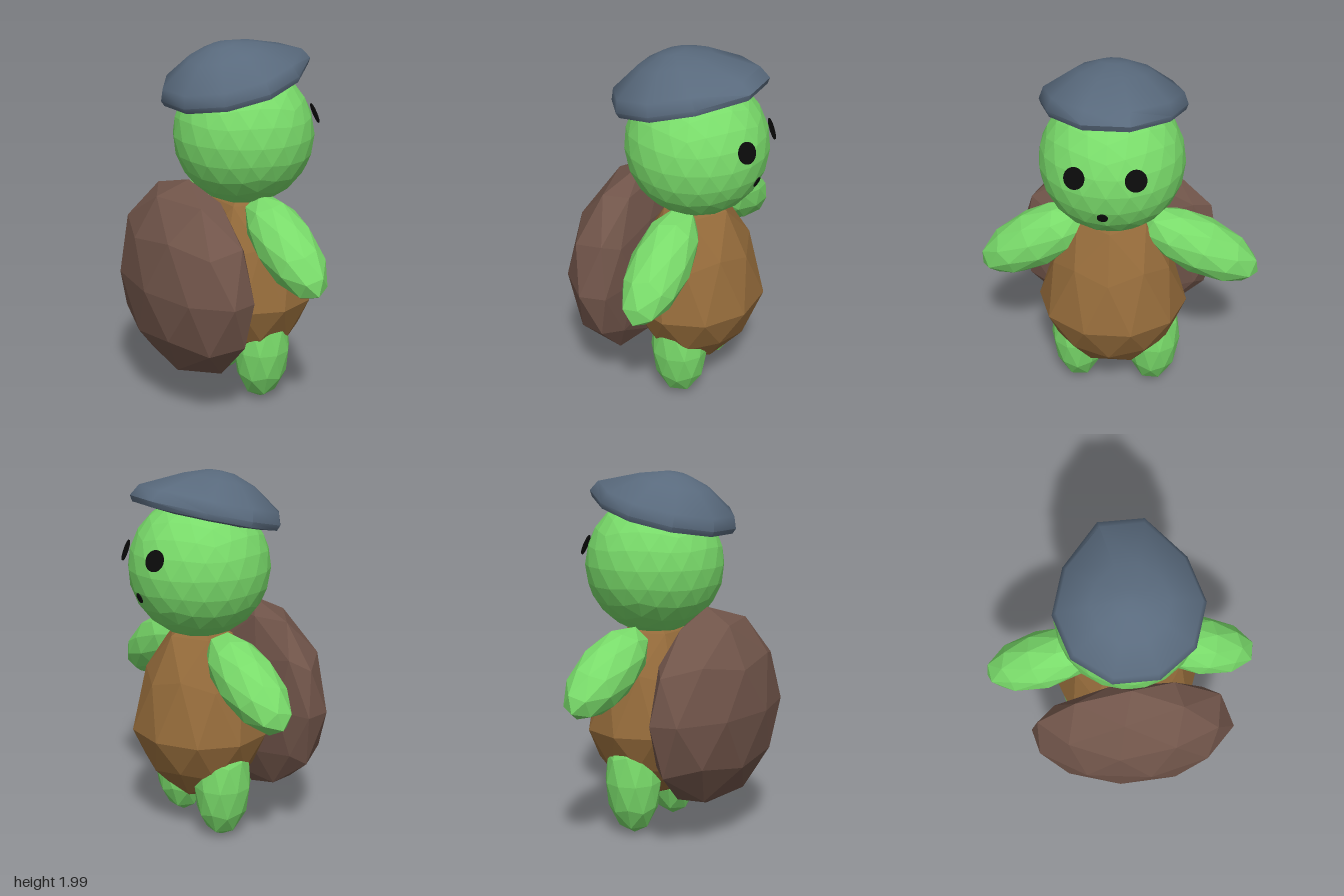
import * as THREE from 'three';
import { toCreasedNormals } from 'three/addons/utils/BufferGeometryUtils.js';

const mat = (color, flatShading = true) => new THREE.MeshStandardMaterial({ color, flatShading });
const green = mat(0x79db6a);
const tan = mat(0x936a3a);
const brown = mat(0x71554a);
const slate = mat(0x596a7d, false);
const black = mat(0x0a0a0a, false);

// Faceted ball with a vertex at each pole; shape(v) moves each point of the unit ball
function ball(name, material, detail, pos, shape) {
  const g = new THREE.IcosahedronGeometry(1, detail);
  g.rotateZ(-0.5536);
  const p = g.attributes.position;
  const v = new THREE.Vector3();
  for (let i = 0; i < p.count; i++) {
    shape(v.fromBufferAttribute(p, i));
    p.setXYZ(i, v.x, v.y, v.z);
  }
  g.computeVertexNormals();
  const m = new THREE.Mesh(g, material);
  m.name = name;
  m.position.set(...pos);
  return m;
}

const scale = (x, y, z) => (v) => v.set(v.x * x, v.y * y, v.z * z);

// Pear: taller above the equator, pinched away from it
function pear(v) {
  const pinch = Math.abs(v.y) > 0.1 ? 0.9 : 1;
  v.set(v.x * 0.37 * pinch, v.y * (v.y > 0 ? 0.63 : 0.41), v.z * 0.41 * pinch);
}

// Shell: deep at the back, shallow towards the body, swept slightly to one side
function shellShape(v) {
  v.set(v.z, v.y, -v.x);
  const x = v.x * (v.x < 0 ? 0.33 : 0.135);
  v.set(x, v.y * 0.55, v.z * 0.58 - x * 0.2);
}

// Thin black disc facing along a direction
function disc(name, radius, pos, dir) {
  const m = new THREE.Mesh(new THREE.CylinderGeometry(radius, radius, 0.006, 24), black);
  m.name = name;
  m.position.set(...pos);
  m.quaternion.setFromUnitVectors(new THREE.Vector3(0, 1, 0), new THREE.Vector3(...dir).normalize());
  return m;
}

// Ten-sided soft cap, drawn out to a point at the front and tilted up
function makeBeret() {
  const profile = [[0, -0.02], [0.72, -0.02], [0.97, -0.005], [1, 0.025], [0.94, 0.088],
    [0.52, 0.192], [0.2, 0.235], [0, 0.24]].map(([r, y]) => new THREE.Vector2(r, y));
  const g = new THREE.LatheGeometry(profile, 10);
  const p = g.attributes.position;
  for (let i = 0; i < p.count; i++) {
    const x = p.getX(i);
    p.setX(i, x > 0 ? 0.28 * x + 0.2 * x * x : 0.385 * x);
    p.setZ(i, p.getZ(i) * 0.385);
  }
  const m = new THREE.Mesh(toCreasedNormals(g, 0.9), slate);
  m.name = 'beret';
  m.position.set(0.06, 1.758, 0.03);
  m.rotation.z = 0.24;
  return m;
}

export function createModel() {
  const model = new THREE.Group();
  model.name = 'turtle';

  model.add(ball('body', tan, 1, [0.145, 0.59, 0.03], pear));
  model.add(ball('head', green, 3, [0.14, 1.492, 0.03], scale(0.384, 0.384, 0.384)));

  const shell = ball('shell', brown, 1, [-0.2, 0.73, 0.02], shellShape);
  shell.rotation.y = 0.05;
  model.add(shell);

  // Limbs
  for (const side of [1, -1]) {
    const label = side > 0 ? 'Right' : 'Left';
    const arm = ball('arm' + label, green, 1, [0.14, 0.965, side * 0.445], scale(0.163, 0.36, 0.157));
    arm.rotation.x = side * (side > 0 ? 2.13 : 2.05);
    const leg = ball('leg' + label, green, 1, [0.14, 0.315, 0.015 + side * 0.215], scale(0.16, 0.305, 0.15));
    leg.rotation.x = side * 0.04;
    model.add(arm, leg);

    // Eyes
    model.add(disc('eye' + label, 0.057, [0.498, 1.59, 0.035 + side * 0.154], [0.36, 0.15, side * 0.14]));
  }
  model.add(disc('mouth', 0.028, [0.497, 1.358, 0.05], [0.36, -0.13, 0.02]));

  model.add(makeBeret());
  return model;
}
